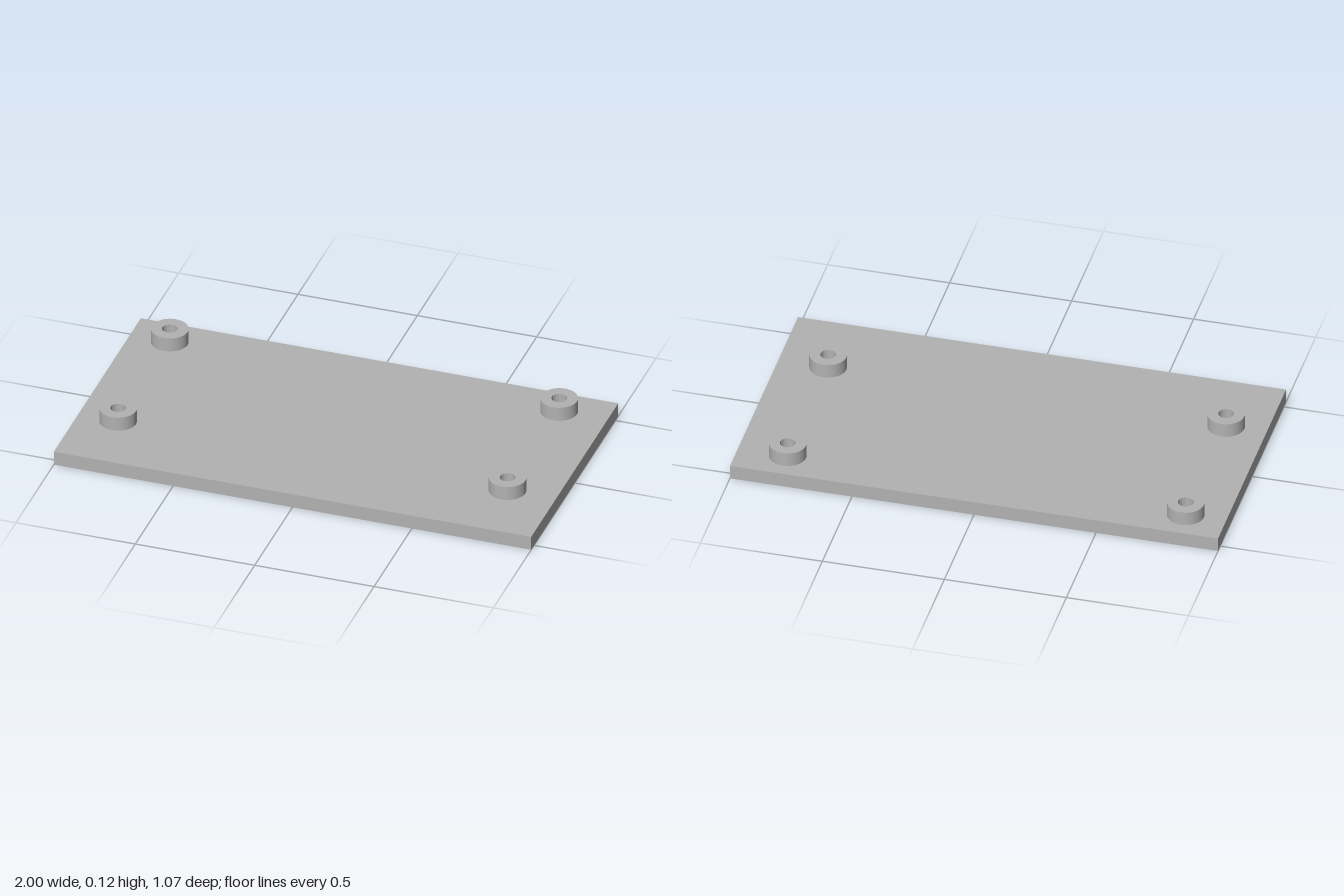
import * as THREE from 'three';
import { toCreasedNormals } from 'three/addons/utils/BufferGeometryUtils.js';

export function createModel() {
  const group = new THREE.Group();
  const grey = new THREE.MeshStandardMaterial({ color: 0xb2b2b2 });
  grey.name = 'grey';

  const thickness = 0.06;
  const top = 0.12;

  // Flat base plate
  const plate = new THREE.Mesh(new THREE.BoxGeometry(2, thickness, 1.07), grey);
  plate.name = 'basePlate';
  plate.position.y = thickness / 2;
  group.add(plate);

  // Hollow round standoff: outer wall, top ring, bore down to the plate
  const outer = 0.075, bore = 0.031;
  const profile = [
    [outer, thickness], [outer, top], [bore, top], [bore, thickness],
  ].map(([r, y]) => new THREE.Vector2(r, y));
  const standoffGeometry = toCreasedNormals(new THREE.LatheGeometry(profile, 48), 0.6);

  // Four standoffs, offset from the plate's centre
  for (const [side, x] of [['Right', -0.834], ['Left', 0.797]]) {
    for (const [end, z] of [['front', 0.23], ['back', -0.405]]) {
      const standoff = new THREE.Mesh(standoffGeometry, grey);
      standoff.name = `${end}${side}Standoff`;
      standoff.position.set(x, 0, z);
      group.add(standoff);
    }
  }
  return group;
}
